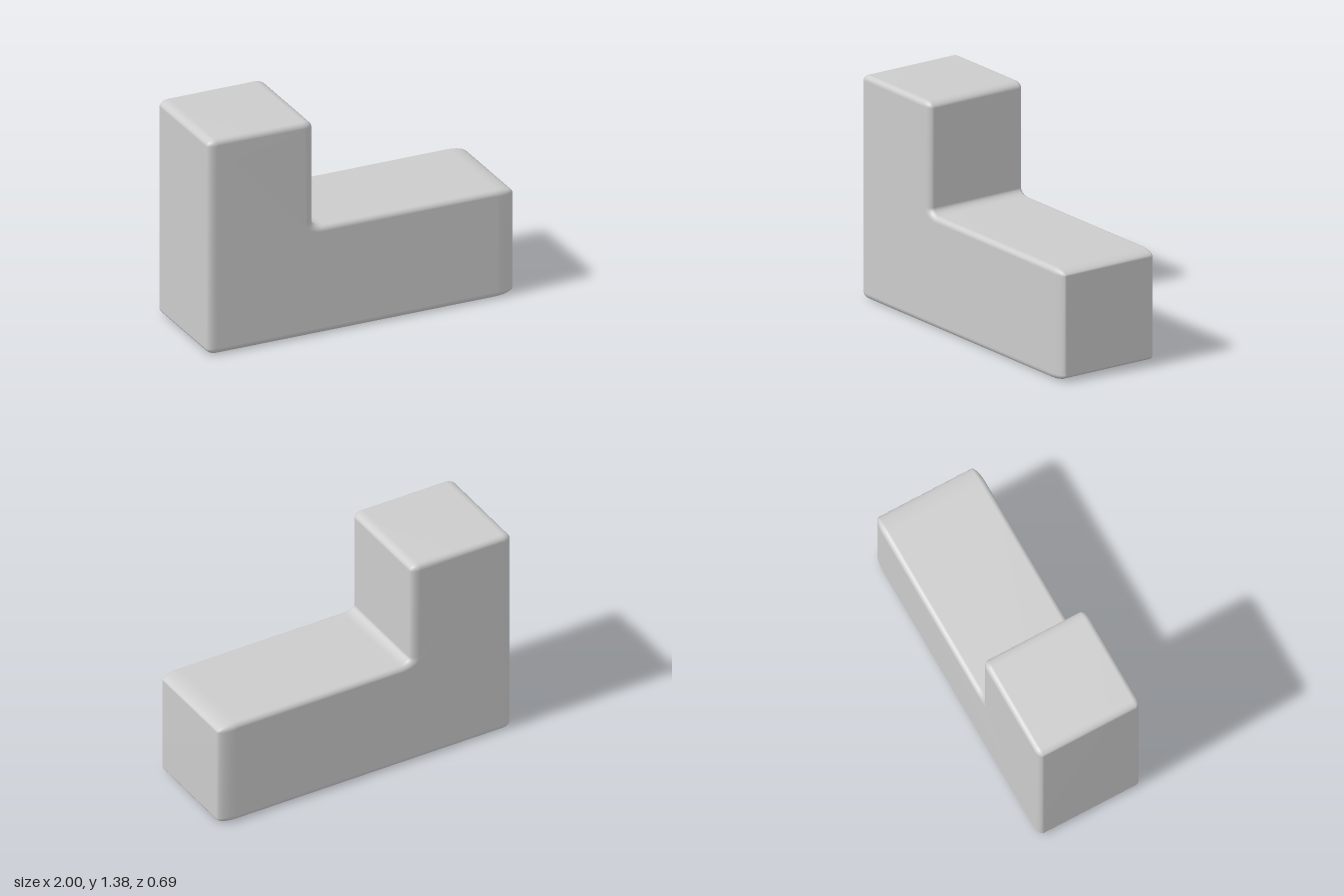
import * as THREE from 'three';
import { mergeVertices } from 'three/addons/utils/BufferGeometryUtils.js';

const R = 0.038;       // corner radius of the outline
const BEVEL = 0.034;   // rounding of the front and back edges
const HALF_DEPTH = 0.343;
const STEP_X = -0.314, STEP_Y = 0.69, TOP = 1.38;

// L outline, counter-clockwise, every corner rounded
function roundedOutline(corners, r, steps) {
  const points = [];
  corners.forEach((c, i) => {
    const prev = corners[(i + corners.length - 1) % corners.length];
    const next = corners[(i + 1) % corners.length];
    const u = prev.clone().sub(c).normalize();
    const v = next.clone().sub(c).normalize();
    const centre = c.clone().addScaledVector(u, r).addScaledVector(v, r);
    for (let k = 0; k <= steps; k++) {
      const a = (k / steps) * Math.PI / 2;
      points.push(centre.clone()
        .addScaledVector(v, -r * Math.cos(a))
        .addScaledVector(u, -r * Math.sin(a)));
    }
  });
  return points;
}

// Piecewise-linear stretch of the rounded zones along x
const FROM = [-1, -1 + R, STEP_X - R, STEP_X, STEP_X + R, 1 - R, 1];
const TO = [-1, -0.94, STEP_X - 0.06, STEP_X, STEP_X + 0.07, 0.88, 1];
function stretchX(x) {
  let i = 0;
  while (i < FROM.length - 2 && x > FROM[i + 1]) i++;
  return TO[i] + (x - FROM[i]) * (TO[i + 1] - TO[i]) / (FROM[i + 1] - FROM[i]);
}

export function createModel() {
  const group = new THREE.Group();
  group.name = 'cornerBlock';
  const grey = new THREE.MeshStandardMaterial({ color: 0xcccccc });
  grey.name = 'light grey';

  const corners = [
    [-1, 0], [1, 0], [1, STEP_Y], [STEP_X, STEP_Y], [STEP_X, TOP], [-1, TOP],
  ].map(([x, y]) => new THREE.Vector2(x, y));

  let geometry = new THREE.ExtrudeGeometry(new THREE.Shape(roundedOutline(corners, R, 6)), {
    depth: 2 * (HALF_DEPTH - BEVEL),
    bevelEnabled: true,
    bevelThickness: BEVEL,
    bevelSize: BEVEL,
    bevelOffset: -BEVEL,
    bevelSegments: 6,
  });
  geometry.translate(0, 0, BEVEL - HALF_DEPTH);

  const position = geometry.attributes.position;
  for (let i = 0; i < position.count; i++) position.setX(i, stretchX(position.getX(i)));

  // Shared vertices give smooth, area-weighted normals
  geometry.deleteAttribute('uv');
  geometry.deleteAttribute('normal');
  geometry = mergeVertices(geometry, 1e-4);
  geometry.computeVertexNormals();

  const body = new THREE.Mesh(geometry, grey);
  body.name = 'lShapedBody';
  group.add(body);
  return group;
}
